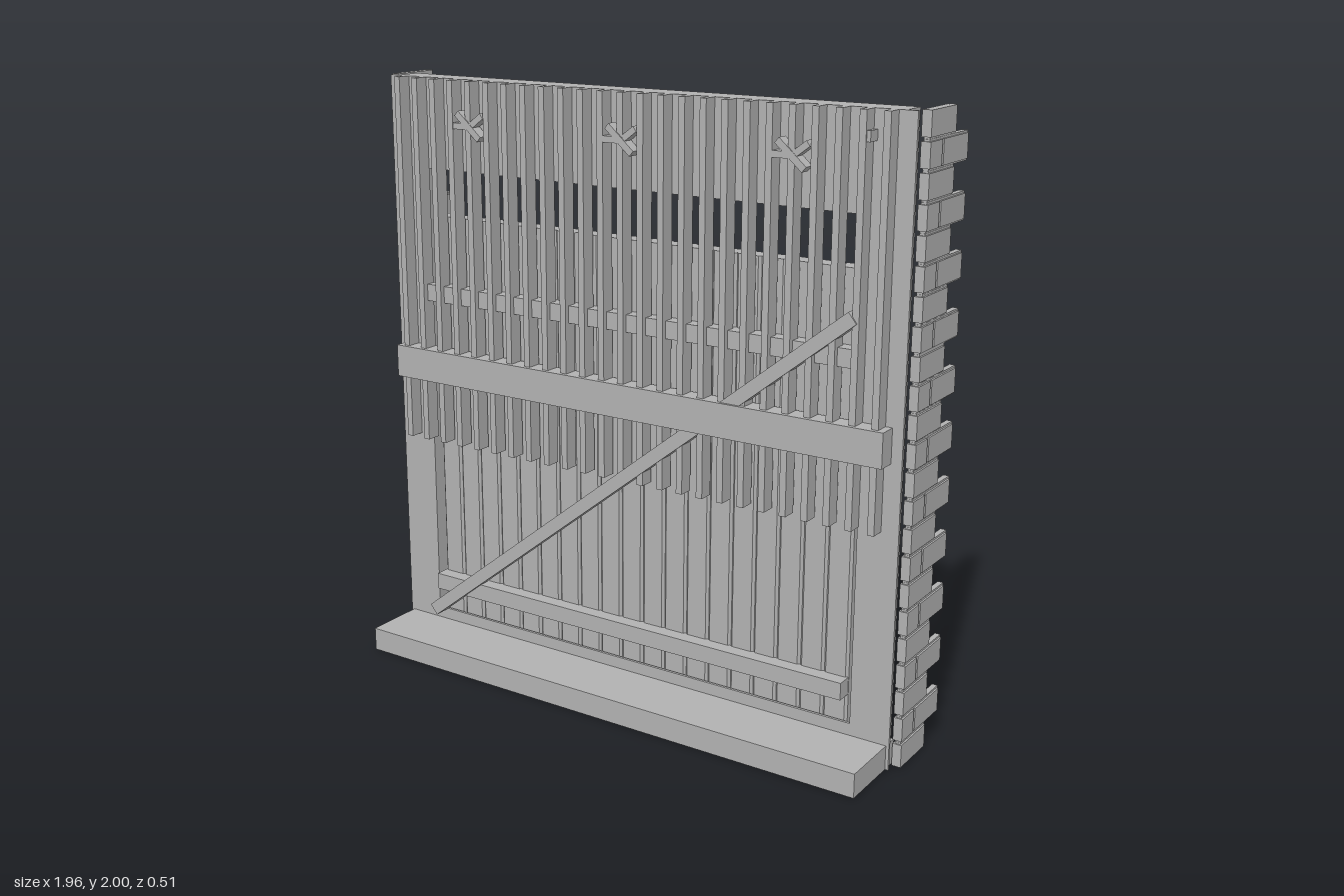
import * as THREE from 'three';

export function createModel() {
  const model = new THREE.Group();
  const grey = new THREE.MeshStandardMaterial({ color: 0xb2b2b2 });
  grey.name = 'plain grey';

  const add = (name, geometry, parent = model) => {
    const mesh = new THREE.Mesh(geometry, grey);
    mesh.name = name;
    parent.add(mesh);
    return mesh;
  };
  // Box given by its limits on each axis
  const box = (name, x0, x1, y0, y1, z0, z1, parent) => {
    const mesh = add(name, new THREE.BoxGeometry(x1 - x0, y1 - y0, z1 - z0), parent);
    mesh.position.set((x0 + x1) / 2, (y0 + y1) / 2, (z0 + z1) / 2);
    return mesh;
  };
  // Bar between two points in the xy plane
  const bar = (name, ax, ay, bx, by, width, z0, z1, parent) => {
    const mesh = add(name, new THREE.BoxGeometry(Math.hypot(bx - ax, by - ay), width, z1 - z0), parent);
    mesh.position.set((ax + bx) / 2, (ay + by) / 2, (z0 + z1) / 2);
    mesh.rotation.z = Math.atan2(by - ay, bx - ax);
    return mesh;
  };
  const group = (name) => {
    const g = new THREE.Group();
    g.name = name;
    model.add(g);
    return g;
  };
  // Upright frame around the doorway
  const doorway = (name, halfWidth, sill, z0, z1) => {
    const s = new THREE.Shape();
    const w = 0.82, top = 1.7;
    const path = [[-halfWidth, 0], [-halfWidth, 2], [halfWidth, 2], [halfWidth, 0]];
    if (sill) {
      const hole = new THREE.Path();
      hole.setFromPoints([[-w, sill], [w, sill], [w, top], [-w, top]].map(p => new THREE.Vector2(...p)));
      s.holes.push(hole);
    } else {
      path.push([w, 0], [w, top], [-w, top], [-w, 0]);
    }
    s.setFromPoints(path.map(p => new THREE.Vector2(...p)));
    const mesh = add(name, new THREE.ExtrudeGeometry(s, { depth: z1 - z0, bevelEnabled: false }));
    mesh.position.z = z0;
  };

  // Wall, its thin front facing with sill, and the doorstep
  doorway('wall', 0.92, 0, -0.045, 0.037);
  doorway('frontFacing', 0.955, 0.12, 0.037, 0.046);
  box('doorstep', -0.945, 0.945, 0, 0.08, -0.01, 0.257);

  // Door planks with V grooves between them
  const door = group('door');
  const count = 19, pitch = 1.6 / count, h = pitch / 2, c = 0.008, d = 0.03;
  const profile = new THREE.Shape([
    [-h + c, -d], [h - c, -d], [h, -d + c], [h, d - c],
    [h - c, d], [-h + c, d], [-h, d - c], [-h, -d + c],
  ].map(p => new THREE.Vector2(...p)));
  const plank = new THREE.ExtrudeGeometry(profile, { depth: 1.54, bevelEnabled: false });
  plank.rotateX(-Math.PI / 2);
  for (let i = 0; i < count; i++) {
    add('doorPlank', plank, door).position.x = -0.8 + (i + 0.5) * pitch;
  }
  for (const y of [0.205, 1.255]) box('doorRail', -0.8, 0.8, y, y + 0.057, 0.025, 0.077, door);

  // Hanging slats, cross beam and diagonal brace
  const slats = group('slats');
  for (let i = -12; i <= 12; i++) {
    const x = i * 0.0739;
    box('slat', x - 0.011, x + 0.011, 0.765, 2, 0.044, 0.094, slats);
  }
  box('crossBeam', -0.92, 0.92, 0.98, 1.09, 0.043, 0.108);
  bar('diagonalBrace', -0.805, 0.13, 0.805, 1.41, 0.043, 0.05, 0.099);

  // Three twig ornaments and a small peg
  for (const x of [-0.59, 0, 0.59]) {
    const twig = group('twigOrnament');
    twig.position.set(x, 1.86, 0);
    bar('twigStem', -0.045, 0.037, 0.045, -0.042, 0.022, 0.06, 0.098, twig);
    bar('twigLeft', -0.06, -0.004, 0.01, -0.004, 0.02, 0.06, 0.097, twig);
    bar('twigRight', 0, -0.008, 0.056, 0.034, 0.02, 0.06, 0.096, twig);
  }
  box('peg', 0.82, 0.836, 1.91, 1.942, 0.044, 0.09);

  // Staggered brick edging on both sides, on a thin mortar core
  for (const side of [-1, 1]) {
    const bricks = group(side > 0 ? 'leftBricks' : 'rightBricks');
    const block = (name, a, b, y0, y1, z0, z1) =>
      box(name, Math.min(side * a, side * b), Math.max(side * a, side * b), y0, y1, z0, z1, bricks);
    const rows = 23, step = (2 - 0.075) / (rows - 1);
    for (let r = 0; r < rows; r++) {
      const y = r * step, long = r % 2 === 1;
      const spans = long ? [[-0.07, 0.01], [-0.25, -0.08]] : [[-0.16, 0.01]];
      for (const [z0, z1] of spans) block('brick', 0.95, 0.98, y, y + 0.075, z0, z1);
      block('mortar', 0.956, 0.974, Math.max(0, y - 0.006), Math.min(2, y + 0.081), long ? -0.258 : -0.168, 0.005);
    }
  }
  return model;
}
